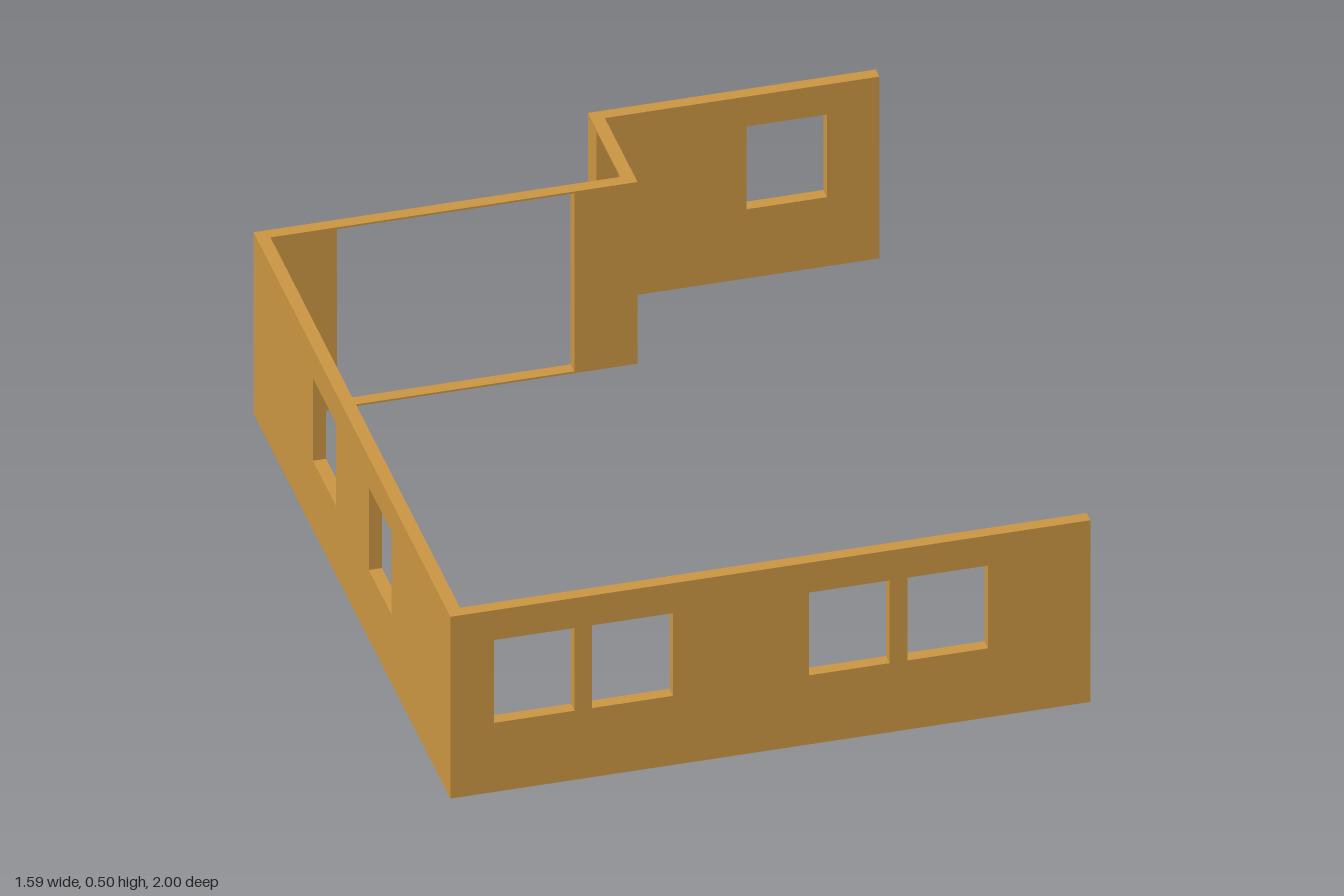
import * as THREE from 'three';

const HEIGHT = 0.505;
const THICK = 0.032;
const SILL = 0.192;
const HEAD = 0.422;

const material = new THREE.MeshStandardMaterial({ color: 0xca9542 });

// Adds a rectangle's outline to a shape or path
function rect(path, u0, u1, v0, v1) {
  path.moveTo(u0, v0);
  path.lineTo(u1, v0);
  path.lineTo(u1, v1);
  path.lineTo(u0, v1);
  path.closePath();
  return path;
}

// Upright panel from u0 to u1, pierced by openings [start, end, bottom, top]
function wall(name, u0, u1, openings) {
  const shape = rect(new THREE.Shape(), u0, u1, 0, HEIGHT);
  for (const [a, b, bottom, top] of openings) {
    shape.holes.push(rect(new THREE.Path(), a, b, bottom, top));
  }
  const geometry = new THREE.ExtrudeGeometry(shape, { depth: THICK, bevelEnabled: false });
  const mesh = new THREE.Mesh(geometry, material);
  mesh.name = name;
  return mesh;
}

const windowAt = (a, b) => [a, b, SILL, HEAD];
const doorwayAt = (a, b) => [a, b, 0.005, HEIGHT - 0.005];

// Wall running along x, its rear face at z
function wallAlongX(name, x0, x1, z, openings) {
  const mesh = wall(name, x0, x1, openings);
  mesh.position.z = z;
  return mesh;
}

// Wall running along z, its -x face at x
function wallAlongZ(name, z0, z1, x, openings) {
  const mesh = wall(name, z0, z1, openings);
  mesh.rotation.y = -Math.PI / 2;
  mesh.position.x = x + THICK;
  return mesh;
}

export function createModel() {
  const group = new THREE.Group();
  group.name = 'houseWalls';
  const side = -0.793; // outer face of the long side wall
  const jog = 0.096; // outer face of the short return wall

  group.add(
    // Front wall with two pairs of windows
    wallAlongX('frontWall', side + THICK, 0.757, 1 - THICK, [
      windowAt(-0.688, -0.492),
      windowAt(-0.45, -0.254),
      windowAt(0.076, 0.271),
      windowAt(0.314, 0.509),
    ]),
    // Long side wall with two windows
    wallAlongZ('sideWall', -0.715, 1, side, [
      windowAt(-0.198, 0.003),
      windowAt(0.289, 0.487),
    ]),
    // Rear wall with the wide opening
    wallAlongX('rearWall', side + THICK, jog, -0.715, [doorwayAt(-0.6, -0.025)]),
    // Short return wall with a doorway
    wallAlongZ('returnWall', -1, -0.683, jog, [doorwayAt(-0.926, -0.735)]),
    // Set-back rear wall with one window
    wallAlongX('farRearWall', jog + THICK, 0.793, -1, [windowAt(0.471, 0.666)]),
  );
  return group;
}
